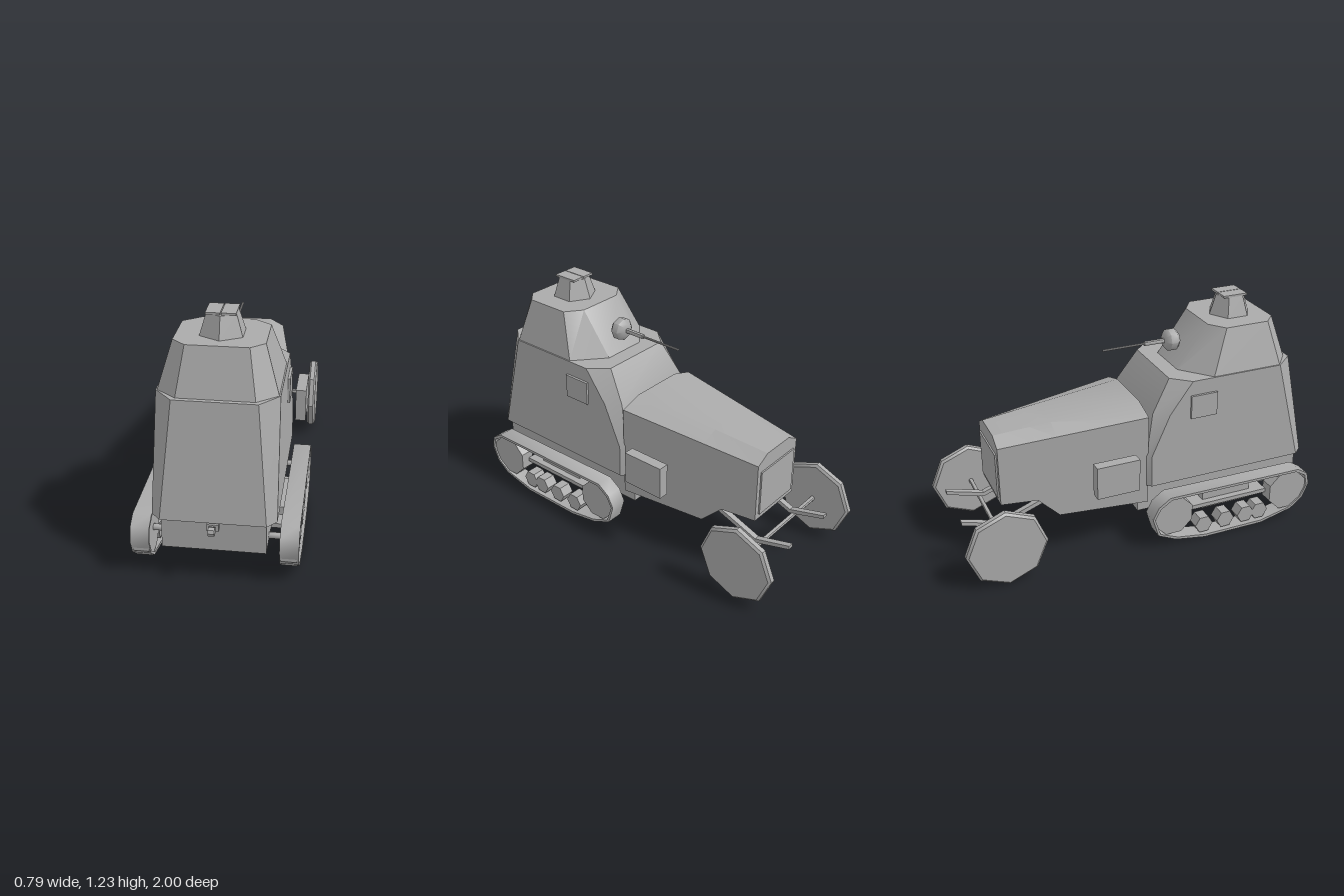
import * as THREE from 'three';
import { toCreasedNormals } from 'three/addons/utils/BufferGeometryUtils.js';

const grey = new THREE.MeshStandardMaterial({ color: 0xaaaaaa });
grey.name = 'plain grey';

const lerp = THREE.MathUtils.lerp;

export function createModel() {
  const model = new THREE.Group();
  model.name = 'armouredHalfTrack';

  function add(name, geometry, x = 0, y = 0, z = 0, crease = 0.6) {
    const mesh = new THREE.Mesh(toCreasedNormals(geometry, crease), grey);
    mesh.name = name;
    mesh.position.set(x, y, z);
    model.add(mesh);
    return mesh;
  }

  // box from min/max extents
  function box(name, x0, x1, y0, y1, z0, z1) {
    return add(name, new THREE.BoxGeometry(x1 - x0, y1 - y0, z1 - z0),
      (x0 + x1) / 2, (y0 + y1) / 2, (z0 + z1) / 2);
  }

  // closed skin through matching rings of points, capped at both ends
  function loft(rings) {
    const pos = [];
    const n = rings[0].length;
    const tri = (a, b, c) => pos.push(...a, ...b, ...c);
    for (let i = 0; i < rings.length - 1; i++) {
      for (let j = 0; j < n; j++) {
        const k = (j + 1) % n;
        tri(rings[i][j], rings[i][k], rings[i + 1][k]);
        tri(rings[i][j], rings[i + 1][k], rings[i + 1][j]);
      }
    }
    const top = rings[rings.length - 1];
    for (let j = 1; j < n - 1; j++) {
      tri(rings[0][0], rings[0][j + 1], rings[0][j]);
      tri(top[0], top[j], top[j + 1]);
    }
    const g = new THREE.BufferGeometry();
    g.setAttribute('position', new THREE.Float32BufferAttribute(pos, 3));
    return g;
  }

  // chamfered plan: rear half width and z, side x, rear and front chamfer z, front half width and z
  const plan = (y, rx, rz, sx, cz, fcz, fx, fz) => [
    [-rx, y, rz], [rx, y, rz], [sx, y, cz], [sx, y, fcz],
    [fx, y, fz], [-fx, y, fz], [-sx, y, fcz], [-sx, y, cz]];

  // outline in (z, y) extruded to a width across x, centred
  function sideExtrude(points, width, hole) {
    const shape = new THREE.Shape(points.map(p => new THREE.Vector2(...p)));
    if (hole) shape.holes.push(new THREE.Path(hole.map(p => new THREE.Vector2(...p))));
    return new THREE.ExtrudeGeometry(shape, { depth: width, bevelEnabled: false })
      .rotateY(-Math.PI / 2).translate(width / 2, 0, 0);
  }

  const disc = (r, width, sides, turn = 0) =>
    new THREE.CylinderGeometry(r, r, width, sides, 1, false, turn).rotateZ(Math.PI / 2);
  const rodZ = (r, length, sides = 8) =>
    new THREE.CylinderGeometry(r, r, length, sides).rotateX(Math.PI / 2);

  // chassis and casemate with its curved front
  box('chassis', -0.243, 0.243, 0.163, 0.325, -0.04, 0.92);
  const fronts = [
    [0.325, 0.02, 0.27, 0], [0.5, 0.02, 0.265, 0.0],
    [0.72, 0.12, 0.235, 0.045], [0.885, 0.245, 0.2, 0.15]];
  add('casemate', loft(fronts.map(([y, fcz, fx, fz]) => {
    const t = (y - 0.325) / 0.56;
    return plan(y, lerp(0.245, 0.195, t), lerp(0.95, 0.857, t), lerp(0.29, 0.283, t),
      lerp(0.9, 0.755, t), fcz, fx, fz);
  })));

  // upper turret and hexagonal cupola
  add('turret', loft([
    plan(0.885, 0.18, 0.835, 0.276, 0.755, 0.37, 0.12, 0.235),
    plan(1.112, 0.145, 0.765, 0.21, 0.705, 0.465, 0.125, 0.4)]));
  add('cupola', new THREE.CylinderGeometry(0.08, 0.115, 0.105, 6), 0, 1.163, 0.59);
  box('hatchLeft', 0.002, 0.07, 1.215, 1.226, 0.52, 0.655);
  box('hatchRight', -0.07, -0.002, 1.215, 1.226, 0.52, 0.655);

  // machine gun in its ball mount
  const ball = [[0, -0.04], [0.035, -0.04], [0.06, -0.018], [0.06, 0.018], [0.035, 0.04], [0, 0.04]];
  add('gunMount', new THREE.LatheGeometry(ball.map(p => new THREE.Vector2(...p)), 8)
    .rotateX(Math.PI / 2), 0, 1.005, 0.252, 0.9);
  add('gunJacket', rodZ(0.013, 0.12), 0, 1.005, 0.16, 1);
  add('gunBarrel', rodZ(0.006, 0.25), 0, 1.005, -0.005, 1);

  // tapering engine hood
  add('engineHood', loft([[0.01, 0.222], [-0.46, 0.222], [-0.57, 0.33], [-0.757, 0.335]].map(([z, low]) => {
    const t = -z / 0.757;
    const w = lerp(0.265, 0.165, t), edge = lerp(0.72, 0.655, t), top = lerp(0.757, 0.695, t);
    return [[-w, low, z], [-w, edge, z], [-w * 0.55, top, z], [w * 0.55, top, z], [w, edge, z], [w, low, z]];
  })), 0, 0, 0, 0.4);
  box('radiatorPlate', -0.14, 0.14, 0.365, 0.61, -0.765, -0.755);

  // rear tow hitch
  box('hitchPlate', -0.027, 0.027, 0.283, 0.317, 0.915, 0.95);
  add('hitchRod', rodZ(0.012, 0.05), 0, 0.3, 0.955, 1);
  add('hitchBall', new THREE.CylinderGeometry(0.022, 0.022, 0.03, 8).rotateZ(Math.PI / 2), 0, 0.3, 0.978);

  // front axle
  add('frontAxle', disc(0.012, 0.68, 8), 0, 0.21, -0.79, 1);

  const tread = [[0.93, 0.18], [0.915, 0.25], [0.855, 0.288], [0.08, 0.296], [0.015, 0.25], [-0.017, 0.185],
    [0.015, 0.08], [0.12, 0.03], [0.29, 0], [0.64, 0], [0.825, 0.045], [0.895, 0.1]];
  const treadInside = tread.map(([z, y]) => [0.457 + (z - 0.457) * 0.972, 0.148 + (y - 0.148) * 0.9]);
  const tyre = [[0, -0.022], [0.197, -0.022], [0.21, -0.012], [0.21, 0.012], [0.197, 0.022], [0, 0.022]];
  const spring = [[-0.53, 0.3], [-0.77, 0.212], [-0.965, 0.27], [-0.965, 0.29], [-0.77, 0.235], [-0.53, 0.325]];

  for (const [side, s] of [['left', 1], ['right', -1]]) {
    const mirrorBox = (name, x0, x1, ...rest) =>
      box(side + name, Math.min(s * x0, s * x1), Math.max(s * x0, s * x1), ...rest);

    // front wheel and leaf spring
    add(side + 'FrontWheel', new THREE.LatheGeometry(tyre.map(p => new THREE.Vector2(...p)), 8)
      .rotateZ(Math.PI / 2), s * 0.355, 0.21, -0.79, 0.5);
    add(side + 'FrontSpring', sideExtrude(spring, 0.03), s * 0.157, 0, 0);

    // side hatch and tool box
    mirrorBox('SideHatch', 0.275, 0.297, 0.68, 0.807, 0.235, 0.383);
    mirrorBox('ToolBox', 0.296, 0.352, 0.362, 0.54, -0.307, -0.075);

    // track band with end wheels and road wheels
    add(side + 'Track', sideExtrude(tread, 0.09, treadInside), s * 0.348, 0, 0, 0.8);
    for (const [name, z, y, r] of [['RearSprocket', 0.8, 0.167, 0.12], ['FrontIdler', 0.108, 0.175, 0.114]]) {
      add(side + name, disc(r, 0.076, 8, Math.PI / 8), s * 0.346, y, z);
      add(side + name + 'Axle', disc(0.016, 0.09, 8), s * 0.275, y + 0.02, z, 1);
    }
    for (const z of [0.63, 0.545, 0.42, 0.29]) {
      add(side + 'RoadWheel', disc(0.051, 0.07, 6), s * 0.346, 0.072, z);
    }

    // bogie beams
    mirrorBox('BogieBeam', 0.24, 0.34, 0.155, 0.178, 0.225, 0.685);
    mirrorBox('BogieBlock', 0.245, 0.305, 0.125, 0.22, 0.315, 0.6);
  }
  return model;
}
